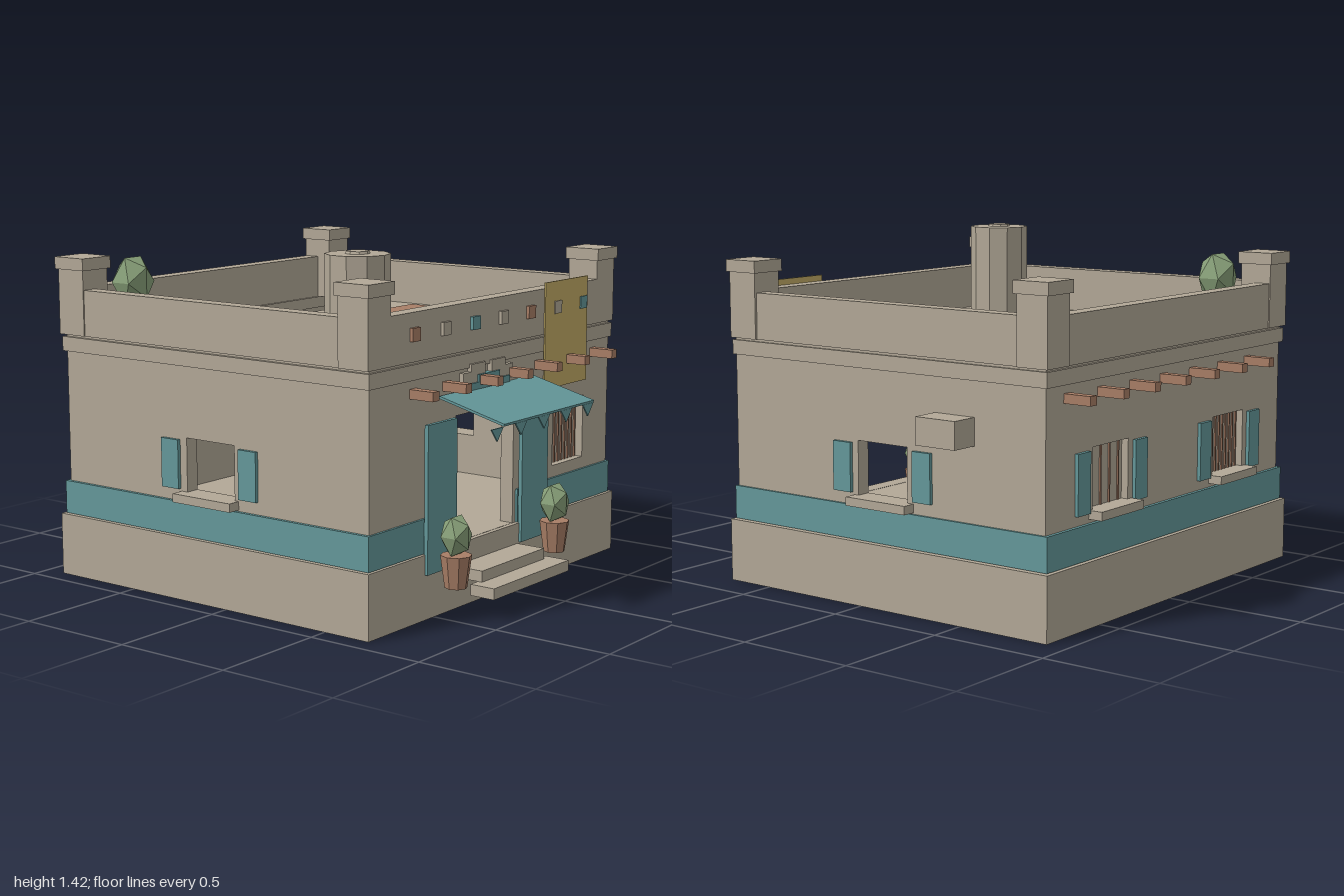
import * as THREE from 'three';

const mat = (name, color) => {
  const m = new THREE.MeshStandardMaterial({ color });
  m.name = name;
  return m;
};

export function createModel() {
  const clay = mat('clay', 0xb2a897), teal = mat('teal paint', 0x64989a), wood = mat('terracotta wood', 0xa87e66);
  const gold = mat('gold cloth', 0xc2ab66), green = mat('leaf green', 0x879f78);
  const root = new THREE.Group();
  root.name = 'adobeHouse';

  const add = (name, geo, m, x = 0, y = 0, z = 0) => {
    const mesh = new THREE.Mesh(geo, m);
    mesh.name = name;
    mesh.position.set(x, y, z);
    root.add(mesh);
    return mesh;
  };
  // Box given by its limits on each axis
  const box = (name, m, x0, x1, y0, y1, z0, z1) =>
    add(name, new THREE.BoxGeometry(x1 - x0, y1 - y0, z1 - z0), m, (x0 + x1) / 2, (y0 + y1) / 2, (z0 + z1) / 2);
  // Rectangle with rectangular holes, pushed out by depth
  const panel = ([a, b, c, d], holes, depth) => {
    const rect = (P, a, b, c, d) => new P([[a, c], [b, c], [b, d], [a, d]].map(p => new THREE.Vector2(...p)));
    const shape = rect(THREE.Shape, a, b, c, d);
    holes.forEach(h => shape.holes.push(rect(THREE.Path, ...h)));
    return new THREE.ExtrudeGeometry(shape, { depth, bevelEnabled: false });
  };
  // Four bars around a rectangle in plan
  const ring = (name, m, x0, x1, z0, z1, y0, y1, t) => {
    box(name + 'Back', m, x0, x1, y0, y1, z0, z0 + t);
    box(name + 'Front', m, x0, x1, y0, y1, z1 - t, z1);
    box(name + 'Right', m, x0, x0 + t, y0, y1, z0 + t, z1 - t);
    box(name + 'Left', m, x1 - t, x1, y0, y1, z0 + t, z1 - t);
  };

  // Foundation and hollow walls
  const X0 = -0.89, X1 = 0.82, Z0 = -0.88, Z1 = 0.69, T = 0.06;
  box('foundation', clay, -0.92, 0.85, 0, 0.26, -0.91, 0.71);
  const door = [-0.33, 0.08, 0.261, 0.77], frontWindow = [0.38, 0.62, 0.45, 0.72];
  const sideWindow = [-0.22, 0.03, 0.44, 0.66], backCentres = [-0.475, 0.395];
  add('frontWall', panel([X0, X1, 0.26, 1.02], [door, frontWindow], T), clay, 0, 0, Z1 - T);
  add('backWall', panel([X0, X1, 0.26, 1.02], backCentres.map(c => [c - 0.12, c + 0.12, 0.45, 0.69]), T), clay, 0, 0, Z0);
  [X1, X0 + T].forEach((x, i) => {
    const w = add(i ? 'rightWall' : 'leftWall', panel([Z0 + T, Z1 - T, 0.26, 1.02], [sideWindow], T), clay, x);
    w.rotation.y = -Math.PI / 2;
  });

  // Roof with the stairwell opening, and treads going down inside
  const roof = add('roof', panel([X0 + T, X1 - T, -0.63, 0.82], [[-0.22, 0.75, 0.5, 0.815]], 0.05), clay, 0, 0.97, 0);
  roof.rotation.x = -Math.PI / 2;
  for (let i = 0; i < 11; i++) {
    const x = -0.22 + i * 0.088, y = 1.0 - i * 0.067;
    box('stairTread', clay, x, x + 0.088, y - 0.06, y, -0.815, -0.5);
  }

  // Cornice, parapet and corner posts
  ring('cornice', clay, -0.905, 0.83, -0.892, 0.7, 0.95, 1.01, 0.05);
  ring('parapet', clay, -0.905, 0.83, -0.895, 0.7, 1.02, 1.21, 0.068);
  for (const x of [-0.84, 0.77]) for (const z of [-0.83, 0.63]) {
    box('cornerPost', clay, x - 0.07, x + 0.07, 1.02, 1.3, z - 0.07, z + 0.07);
    box('cornerCap', clay, x - 0.08, x + 0.08, 1.29, 1.34, z - 0.08, z + 0.08);
  }

  // Painted band, open at the door
  box('bandFrontRight', teal, -0.905, -0.35, 0.262, 0.4, 0.69, 0.7);
  box('bandFrontLeft', teal, 0.1, 0.83, 0.262, 0.4, 0.69, 0.7);
  box('bandBack', teal, -0.905, 0.83, 0.262, 0.4, -0.895, -0.88);
  box('bandRight', teal, -0.905, -0.89, 0.262, 0.4, -0.88, 0.69);
  box('bandLeft', teal, 0.82, 0.83, 0.262, 0.4, -0.88, 0.69);

  // Lattice windows at the front and back
  const lattice = (x0, x1, y0, y1, z, dir, bars) => {
    box('windowPane', clay, x0, x1, y0, y1, z - 0.005, z + 0.005);
    for (let i = 0; i < bars; i++) {
      const x = x0 + (x1 - x0) * (i + 0.5) / bars;
      box('latticeBar', wood, x - 0.004, x + 0.004, y0, y1, z + dir * 0.008 - 0.003, z + dir * 0.008 + 0.003);
    }
  };
  lattice(...frontWindow, 0.65, 1, 9);
  backCentres.forEach((c, i) => {
    lattice(c - 0.12, c + 0.12, 0.45, 0.69, -0.845, -1, i ? 4 : 9);
    box('backSill', clay, c - 0.145, c + 0.145, 0.415, 0.45, -0.94, -0.87);
    for (const s of [-0.195, 0.195])
      box('backShutter', teal, c + s - 0.042, c + s + 0.042, 0.44, 0.68, -0.895, -0.88);
  });

  // Side window sills and shutters
  for (const [a, b, s0, s1] of [[0.81, 0.875, 0.82, 0.835], [-0.945, -0.88, -0.905, -0.89]]) {
    box('sideSill', clay, a, b, 0.405, 0.44, -0.25, 0.05);
    box('sideShutter', teal, s0, s1, 0.45, 0.65, 0.06, 0.15);
    box('sideShutter', teal, s0, s1, 0.45, 0.65, -0.345, -0.255);
  }
  box('wallUnit', clay, 0.82, 0.94, 0.7, 0.81, -0.55, -0.36);

  // Roof beam ends
  for (let i = 0; i < 7; i++) {
    const x = -0.62 + i * 0.218;
    box('beamEndFront', wood, x - 0.02, x + 0.02, 0.88, 0.917, 0.68, 0.8);
    box('beamEndBack', wood, x - 0.02, x + 0.02, 0.88, 0.917, -1.0, -0.87);
  }

  // Door panels, stepped crest and entry steps
  box('doorPanelRight', teal, -0.56, -0.365, 0.18, 0.77, 0.705, 0.722);
  box('doorPanelLeft', teal, 0.1, 0.295, 0.18, 0.77, 0.705, 0.722);
  for (const [y0, y1, half] of [[0.86, 0.9, 0.21], [0.9, 0.935, 0.175], [0.935, 0.965, 0.12]]) {
    box('crestRight', clay, -0.135 - half, -0.157, y0, y1, 0.69, 0.71);
    box('crestLeft', clay, -0.113, -0.135 + half, y0, y1, 0.69, 0.71);
  }
  box('crestInsetLow', teal, -0.28, 0.007, 0.86, 0.89, 0.69, 0.718);
  box('crestInsetHigh', teal, -0.215, -0.065, 0.89, 0.92, 0.69, 0.718);
  box('upperStep', clay, -0.36, 0.09, 0.13, 0.175, 0.71, 0.84);
  box('lowerStep', clay, -0.41, 0.135, 0.085, 0.13, 0.82, 0.93);

  // Sloped awning with a pointed fringe
  const slope = Math.atan2(0.075, 0.3);
  const awning = add('awning', new THREE.BoxGeometry(0.65, 0.01, 0.309), teal, -0.135, 0.825, 0.85);
  awning.rotation.x = slope;
  const point = new THREE.Shape([[-0.04, 0], [0, -0.05], [0.04, 0]].map(p => new THREE.Vector2(...p)));
  const pointGeo = new THREE.ExtrudeGeometry(point, { depth: 0.006, bevelEnabled: false });
  for (let i = 0; i < 5; i++) add('awningFringe', pointGeo, teal, -0.5 + i * 0.163, 0.782, 0.992);

  // Hanging cloth and the row of parapet tiles
  box('hangingCloth', gold, 0.28, 0.61, 0.79, 1.235, 0.703, 0.709);
  [wood, clay, teal, clay, wood, clay, teal].forEach((m, i) => {
    const x = -0.625 + i * 0.2;
    box('parapetTile', m, x - 0.026, x + 0.026, 1.1, 1.152, 0.695, 0.714);
  });

  // Potted shrubs
  const shrub = (x, y, z, r, potH, leafH) => {
    const flat = geo => { const g = geo.toNonIndexed(); g.computeVertexNormals(); return g; };
    add('pot', flat(new THREE.CylinderGeometry(r * 0.95, r * 0.68, potH, 8)), wood, x, y + potH / 2, z);
    const leaf = add('foliage', new THREE.IcosahedronGeometry(1, 0), green, x, y + potH + leafH * 0.42, z);
    leaf.scale.set(r, leafH / 2, r);
  };
  shrub(-0.48, 0.13, 0.8, 0.066, 0.13, 0.18);
  shrub(0.23, 0.13, 0.8, 0.066, 0.13, 0.18);
  shrub(-0.69, 1.01, -0.69, 0.09, 0.12, 0.24);

  // Water tank, crate and rug on the roof
  const facet = geo => { const g = geo.toNonIndexed(); g.computeVertexNormals(); return g; };
  add('waterTank', facet(new THREE.CylinderGeometry(0.128, 0.128, 0.39, 10)), clay, -0.595, 1.215, 0.41);
  add('tankLid', facet(new THREE.CylinderGeometry(0.045, 0.05, 0.012, 8)), clay, -0.595, 1.414, 0.41);
  box('crate', wood, 0.55, 0.7, 1.02, 1.16, 0.46, 0.615);
  box('roofRug', wood, 0.2, 0.69, 1.02, 1.028, -0.27, 0.065);

  return root;
}
